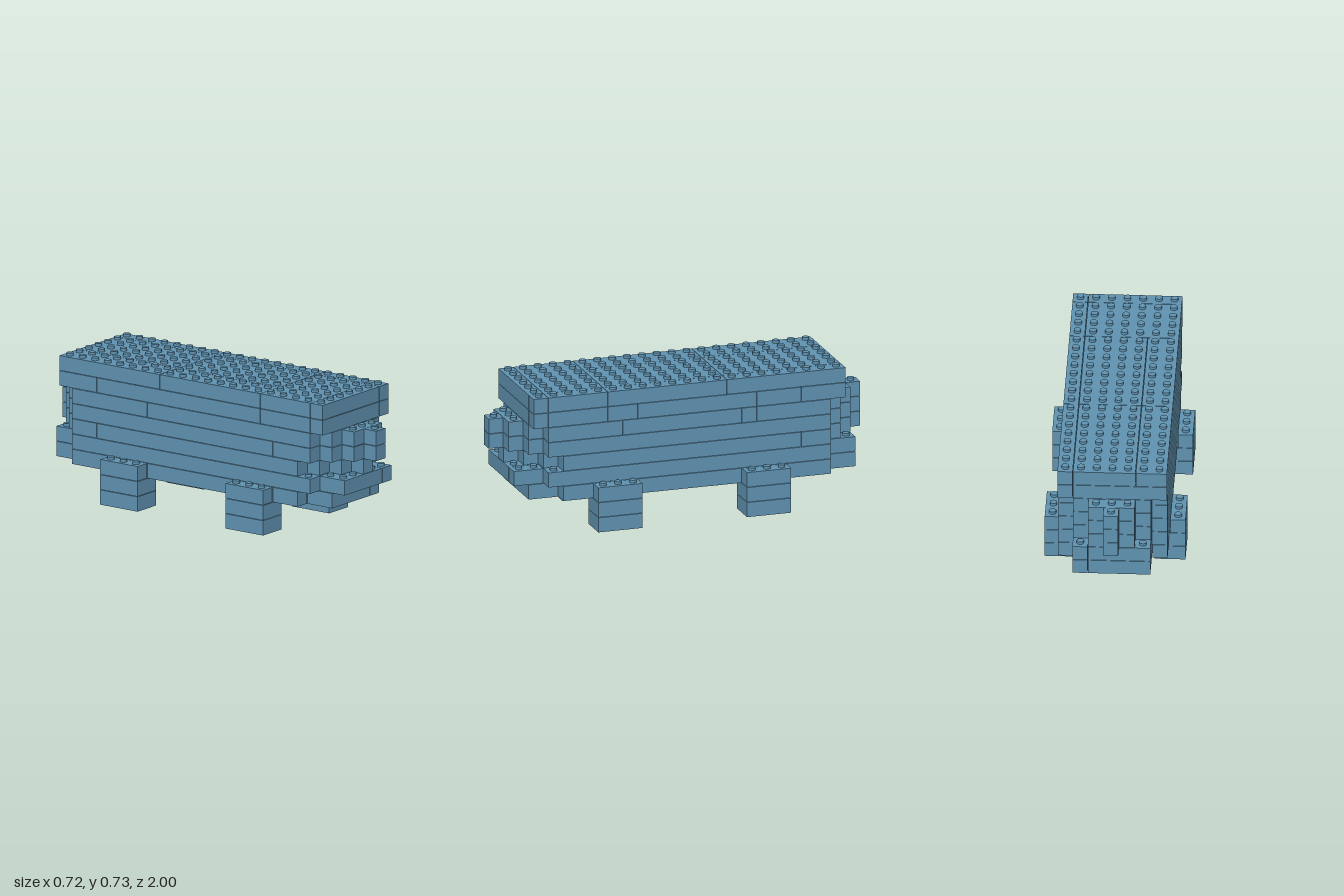
import * as THREE from 'three';
import { mergeGeometries } from 'three/addons/utils/BufferGeometryUtils.js';

const U = 0.08;      // stud pitch and layer height
const GAP = 0.0024;  // seam between bricks

const blue = new THREE.MeshStandardMaterial({ color: 0x6093b2 });
blue.name = 'steelBlue';

// Each block: x cuts and z cuts; every cell between neighbouring cuts is one brick.
const block = (xs, zs) => ({ xs, zs });
const span = (half, z0, z1) => block([-half, half], [z0, z1]);

// Stepped, tapering end rows: half width for each row moving outwards from z.
function taper(z, dir, halves) {
  return halves.map((h, i) => {
    const a = z + dir * i * U, b = z + dir * (i + 1) * U;
    return span(h, Math.min(a, b), Math.max(a, b));
  });
}

function sideBlocks(x0, x1) {
  const out = [];
  for (const s of [-1, 1]) for (const z of [-0.4, 0.4]) {
    out.push(block(s < 0 ? [-x1, -x0] : [x0, x1], [z - 0.12, z + 0.12]));
  }
  return out;
}

const layers = [
  { name: 'lowerWheelBlocks', blocks: sideBlocks(0.2, 0.36) },
  { name: 'upperWheelBlocks', blocks: sideBlocks(0.2, 0.36) },
  { name: 'chassis', blocks: [
    block([-0.28, -0.2, 0.12, 0.2, 0.28], [-0.76, -0.52, -0.28, 0.28, 0.52, 0.68]),
    block([-0.2, 0.12, 0.2], [0.68, 0.84]),
    block([-0.2, 0.12, 0.2], [-0.92, -0.76]),
    ...sideBlocks(0.28, 0.36)] },
  { name: 'bumperLayer', blocks: [
    block([-0.28, 0.12, 0.28], [-0.76, 0.76]),
    block([-0.2, 0.12, 0.2], [0.76, 0.92]),
    block([-0.2, 0.12, 0.2], [-0.92, -0.76])] },
  { name: 'lowerBody', blocks: [
    block([-0.28, 0.2, 0.28], [-0.76, -0.6, -0.44, 0.68]),
    ...taper(0.68, 1, [0.2, 0.12, 0.04]),
    ...taper(-0.76, -1, [0.2, 0.12, 0.04])] },
  { name: 'middleBody', blocks: [
    block([-0.28, 0.2, 0.28], [-0.76, 0.52, 0.76]),
    ...taper(0.76, 1, [0.2, 0.12, 0.04]),
    ...taper(-0.76, -1, [0.2, 0.12, 0.04])] },
  { name: 'upperBody', blocks: [
    block([-0.28, 0.2, 0.28], [-0.76, -0.36, -0.28, 0.36, 0.76]),
    ...taper(0.76, 1, [0.2, 0.12, 0.04]),
    ...taper(-0.76, -1, [0.2, 0.12, 0.04])] },
  { name: 'lowerRoof', blocks: [
    block([-0.28, 0.2, 0.28], [-0.84, -0.6, -0.36, 0.28, 0.44, 0.76, 0.84])] },
  { name: 'upperRoof', blocks: [
    block([-0.28, -0.12, 0.2, 0.28], [-0.84, -0.2, 0.44]),
    block([-0.28, 0.2, 0.28], [0.44, 0.76, 0.84])] },
];

const covers = (layer, x, z) => !!layer && layer.blocks.some(({ xs, zs }) =>
  x > xs[0] && x < xs[xs.length - 1] && z > zs[0] && z < zs[zs.length - 1]);

// All bricks of one layer
function brickGeometry(layer, level) {
  const parts = [];
  for (const { xs, zs } of layer.blocks) {
    for (let i = 0; i + 1 < xs.length; i++) for (let j = 0; j + 1 < zs.length; j++) {
      const g = new THREE.BoxGeometry(xs[i + 1] - xs[i] - GAP, U - GAP, zs[j + 1] - zs[j] - GAP);
      g.translate((xs[i] + xs[i + 1]) / 2, level * U + (U - GAP) / 2, (zs[j] + zs[j + 1]) / 2);
      parts.push(g);
    }
  }
  return mergeGeometries(parts);
}

// Studs on every cell that has no brick above it
function studGeometry(layer, above, level) {
  const parts = [];
  for (let i = -4; i <= 4; i++) for (let j = -12; j <= 12; j++) {
    const x = i * U, z = j * U;
    if (!covers(layer, x, z) || covers(above, x, z)) continue;
    const g = new THREE.CylinderGeometry(0.0185, 0.0185, 0.015, 18);
    g.translate(x, (level + 1) * U - GAP + 0.007, z);
    parts.push(g);
  }
  return parts.length ? mergeGeometries(parts) : null;
}

export function createModel() {
  const model = new THREE.Group();
  model.name = 'brickVehicle';
  layers.forEach((layer, level) => {
    const group = new THREE.Group();
    group.name = layer.name;
    const bricks = new THREE.Mesh(brickGeometry(layer, level), blue);
    bricks.name = layer.name + 'Bricks';
    group.add(bricks);
    const studs = studGeometry(layer, layers[level + 1], level);
    if (studs) {
      const mesh = new THREE.Mesh(studs, blue);
      mesh.name = layer.name + 'Studs';
      group.add(mesh);
    }
    model.add(group);
  });
  return model;
}
